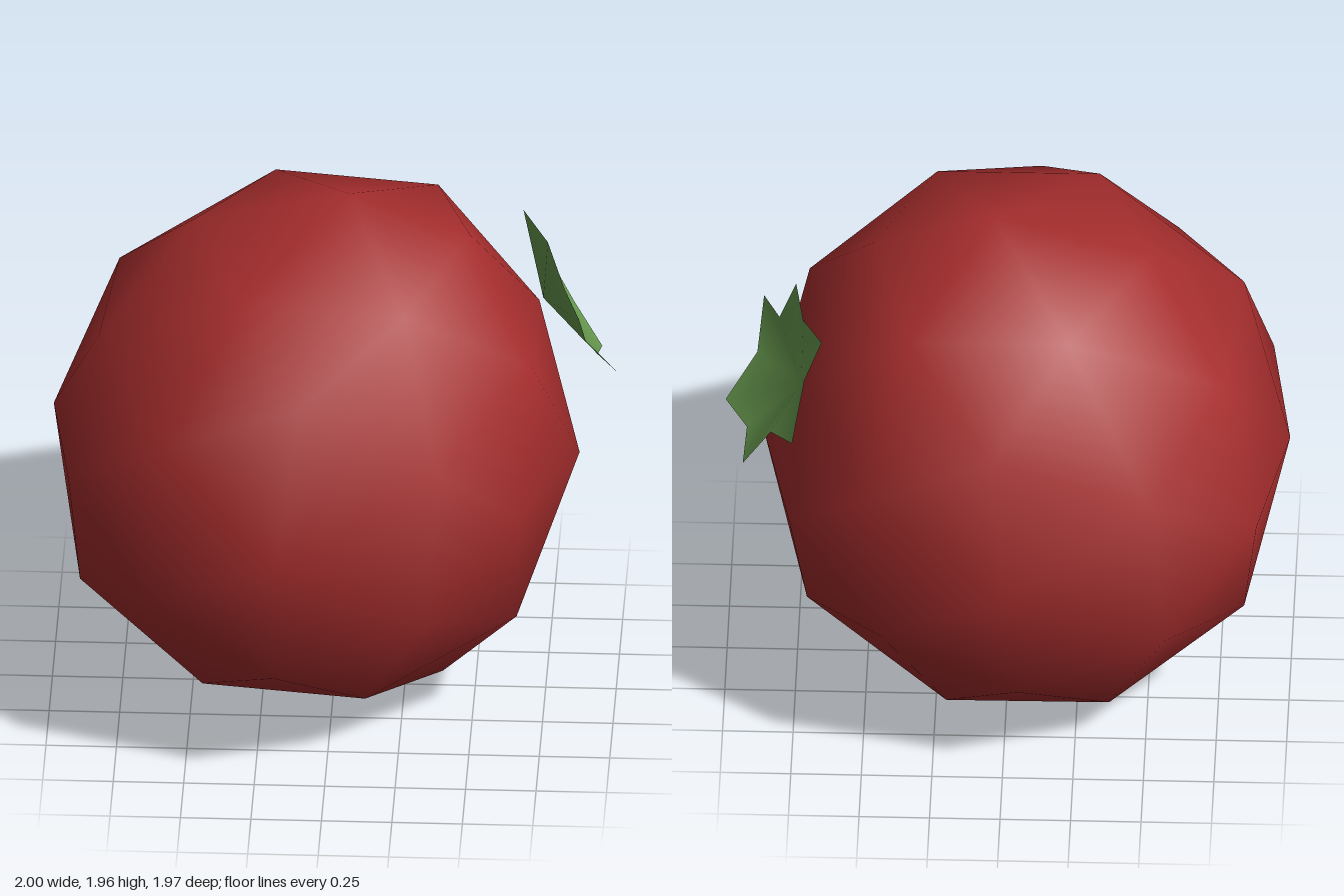
import * as THREE from 'three';
import { mergeVertices } from 'three/addons/utils/BufferGeometryUtils.js';

const red = new THREE.MeshStandardMaterial({ color: 0xa52d2d });
red.name = 'fruitRed';
const green = new THREE.MeshStandardMaterial({ color: 0x67994e, side: THREE.DoubleSide });
green.name = 'leafGreen';

// Small bumps and dents: direction on the ball, then the offset there
const nudges = [
  [[-0.526, 0.851, 0], [-0.04, -0.02, 0]], [[0.526, 0.851, 0], [-0.04, 0.02, 0]],
  [[-0.526, -0.851, 0], [-0.01, -0.03, 0]], [[0.526, -0.851, 0], [0.01, -0.07, 0]],
  [[-0.851, 0.526, 0], [-0.03, -0.03, 0]], [[-0.851, -0.526, 0], [-0.01, -0.03, 0]],
  [[0.851, -0.526, 0], [0.03, -0.02, 0]], [[0, -1, 0], [0, -0.01, 0]],
  [[0, 0.851, 0.526], [0, -0.02, 0.02]], [[0, 0.526, 0.851], [0, 0.03, -0.01]],
  [[0, -0.526, 0.851], [0, -0.03, -0.02]], [[0, -0.851, 0.526], [0, 0.02, 0]],
  [[0, -0.851, -0.526], [0, -0.025, 0]], [[0, -0.526, -0.851], [0, -0.02, 0.03]],
  [[0, 0.526, -0.851], [0, 0.02, -0.03]], [[-0.526, 0, -0.851], [-0.07, 0, 0]],
  [[-0.851, 0, -0.526], [-0.07, 0, 0]], [[-0.851, 0, 0.526], [-0.02, 0, 0]],
  [[0.526, 0, 0.851], [0.05, 0, 0]],
  [[0.809, 0.5, -0.309], [-0.05, -0.04, 0]], // dent under the leaf cap
];

const dot = (a, b) => a[0] * b[0] + a[1] * b[1] + a[2] * b[2];

// Low-poly ball, slightly tilted, flattened and bent into an uneven fruit
function makeFruit() {
  const ball = new THREE.IcosahedronGeometry(1, 1);
  ball.deleteAttribute('uv');
  ball.deleteAttribute('normal');
  const geo = mergeVertices(ball, 1e-4);
  const axes = [[0.935, -0.045, 0.055], [0.085, 0.973, -0.03], [-0.075, 0.04, 0.985]];
  const bends = [[0, 0.025, -0.055], [0.03, 0.003, -0.03], [-0.02, 0, -0.005]];
  const centre = [-0.065, 0.98, 0];
  const pos = geo.attributes.position;
  for (let i = 0; i < pos.count; i++) {
    const q = [pos.getX(i), pos.getY(i), pos.getZ(i)];
    const near = nudges.filter(([dir]) => dot(q, dir) > 0.94);
    const p = centre.map((c, k) => q.reduce(
      (sum, v, j) => sum + v * axes[j][k] + v * v * bends[j][k], c)
      + near.reduce((sum, [, offset]) => sum + offset[k], 0));
    pos.setXYZ(i, ...p);
  }
  geo.computeVertexNormals();
  const mesh = new THREE.Mesh(geo, red);
  mesh.name = 'fruit';
  return mesh;
}

// Six-pointed leaf cap: a cupped fan around the stem point
function makeLeafCap() {
  const centre = [0.727, 1.406, -0.315];
  const rim = [ // tips and notches in turn
    [0.75, 1.72, -0.16], [0.72, 1.67, -0.31],
    [0.65, 1.68, -0.46], [0.71, 1.53, -0.48],
    [0.75, 1.36, -0.63], [0.83, 1.30, -0.48],
    [0.93, 1.14, -0.45], [0.92, 1.19, -0.30],
    [1.00, 1.20, -0.15], [0.89, 1.36, -0.08],
    [0.87, 1.52, 0.04], [0.81, 1.55, -0.13],
  ];
  const index = [];
  rim.forEach((_, i) => index.push(0, ((i + 1) % rim.length) + 1, i + 1));
  const geo = new THREE.BufferGeometry();
  geo.setAttribute('position', new THREE.Float32BufferAttribute([centre, ...rim].flat(), 3));
  geo.setIndex(index);
  geo.computeVertexNormals();
  const mesh = new THREE.Mesh(geo, green);
  mesh.name = 'leafCap';
  return mesh;
}

export function createModel() {
  const group = new THREE.Group();
  group.name = 'roundFruit';
  group.add(makeFruit(), makeLeafCap());
  return group;
}
